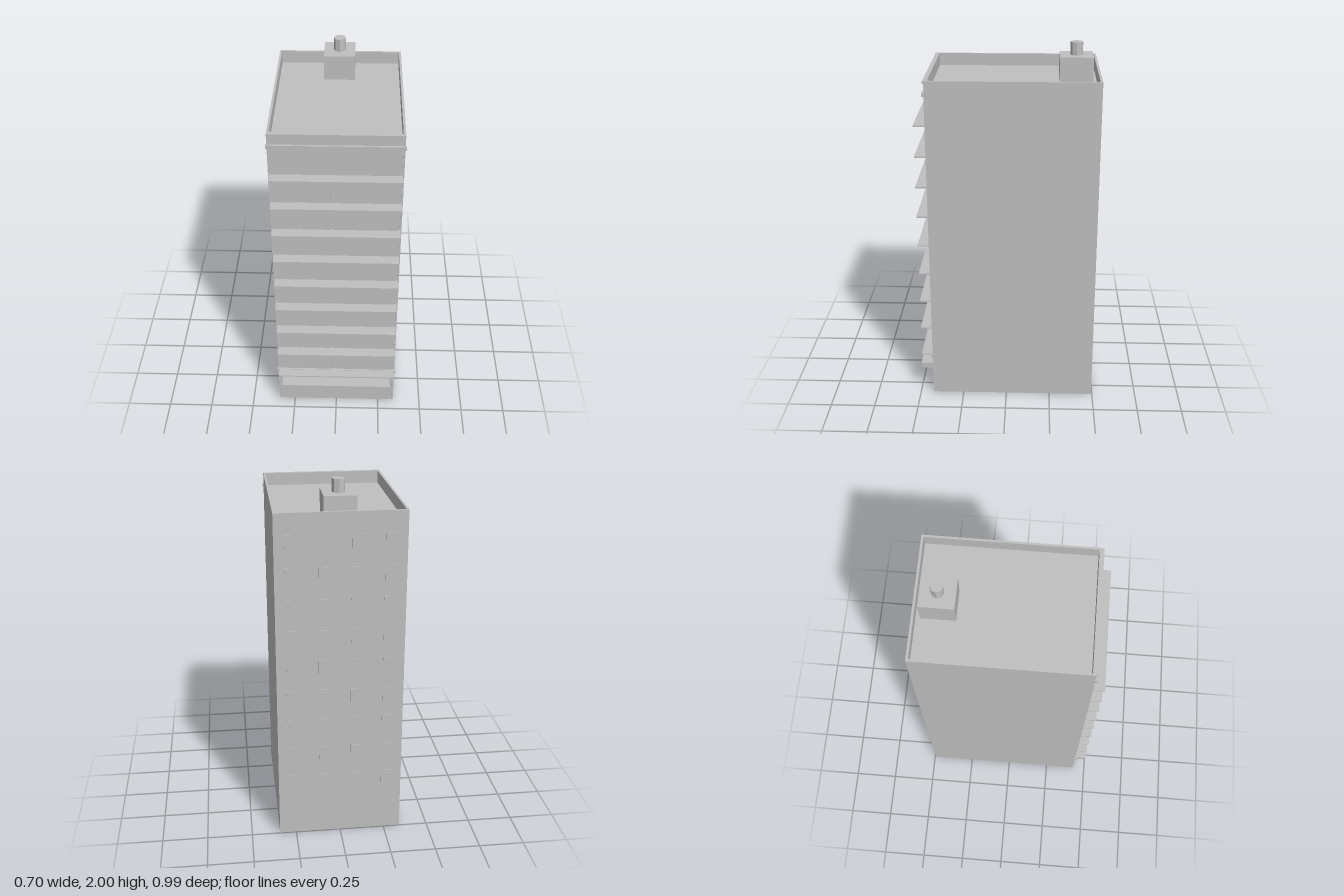
import * as THREE from 'three';

export function createModel() {
  const model = new THREE.Group();
  const concrete = new THREE.MeshStandardMaterial({ color: 0xc0c0c0 });
  concrete.name = 'concrete grey';

  // Box given by its extents along each axis
  function block(name, x0, x1, y0, y1, z0, z1, parent = model) {
    const mesh = new THREE.Mesh(new THREE.BoxGeometry(x1 - x0, y1 - y0, z1 - z0), concrete);
    mesh.position.set((x0 + x1) / 2, (y0 + y1) / 2, (z0 + z1) / 2);
    mesh.name = name;
    parent.add(mesh);
    return mesh;
  }
  function group(name) {
    const g = new THREE.Group();
    g.name = name;
    model.add(g);
    return g;
  }

  const W = 0.342, BACK = -0.495, FRONT = 0.42, ROOF = 1.79, TOP = 1.86;
  const FLOORS = 9, STEP = 0.1715, FIRST = 0.248;

  // Tower body up to the roof deck
  block('towerBody', -W, W, 0, ROOF, BACK, FRONT);

  // Parapet: a hollow rectangular rim round the roof
  const rim = new THREE.Shape([[-W, -FRONT], [W, -FRONT], [W, -BACK], [-W, -BACK]]
    .map(p => new THREE.Vector2(...p)));
  rim.holes.push(new THREE.Path([[-0.33, -0.407], [-0.33, 0.482], [0.33, 0.482], [0.33, -0.407]]
    .map(p => new THREE.Vector2(...p))));
  const parapet = new THREE.Mesh(
    new THREE.ExtrudeGeometry(rim, { depth: TOP - ROOF, bevelEnabled: false }), concrete);
  parapet.rotation.x = -Math.PI / 2;
  parapet.position.y = ROOF;
  parapet.name = 'parapet';
  model.add(parapet);

  // Front facade: thin wall panels split by narrow vertical grooves
  const facade = group('frontFacade');
  const bays = [[-W, -0.2], [-0.19, -0.027], [-0.017, 0.322], [0.332, W]];
  for (const [a, b] of bays) block('facadePanel', a, b, FIRST, 1.775, FRONT, 0.426, facade);
  block('groundFloorPanel', -W, 0.322, 0, FIRST, FRONT, 0.426, facade);
  block('groundFloorPier', 0.332, W, 0, FIRST, FRONT, 0.426, facade);
  block('upperFrieze', -W, W, 1.795, 1.845, FRONT, 0.424, facade);

  // Projecting floor ledges
  const ledges = group('floorLedges');
  for (let i = 0; i < FLOORS; i++) {
    const y = FIRST + i * STEP;
    block('floorLedge', -0.336, 0.336, y - 0.004, y + 0.004, FRONT, 0.488, ledges);
  }

  // Cornices and entrance canopy
  block('lowerCornice', -0.348, 0.348, 0.234, 0.254, FRONT, 0.436);
  block('upperCornice', -0.348, 0.348, 1.778, 1.798, FRONT, 0.436);
  block('parapetCap', -W, W, 1.845, TOP, FRONT, 0.431);
  block('entranceCanopy', -0.317, 0.317, 0.144, 0.18, FRONT, 0.495);

  // Rear windows: four columns of shallow plates
  const windows = group('rearWindows');
  for (let i = 0; i < FLOORS; i++) {
    const y = 0.295 + i * STEP;
    for (const x of [-0.258, -0.086, 0.086, 0.258])
      block('rearWindow', x - 0.031, x + 0.031, y, y + 0.078, BACK - 0.004, BACK, windows);
  }

  // Rooftop plant room and eight-sided flue
  block('plantRoom', -0.085, 0.085, ROOF, 1.93, -0.46, -0.279);
  const flueGeometry = new THREE.CylinderGeometry(0.034, 0.034, 0.07, 8).toNonIndexed();
  flueGeometry.computeVertexNormals();
  const flue = new THREE.Mesh(flueGeometry, concrete);
  flue.position.set(0, 1.965, -0.37);
  flue.name = 'flue';
  model.add(flue);

  return model;
}
